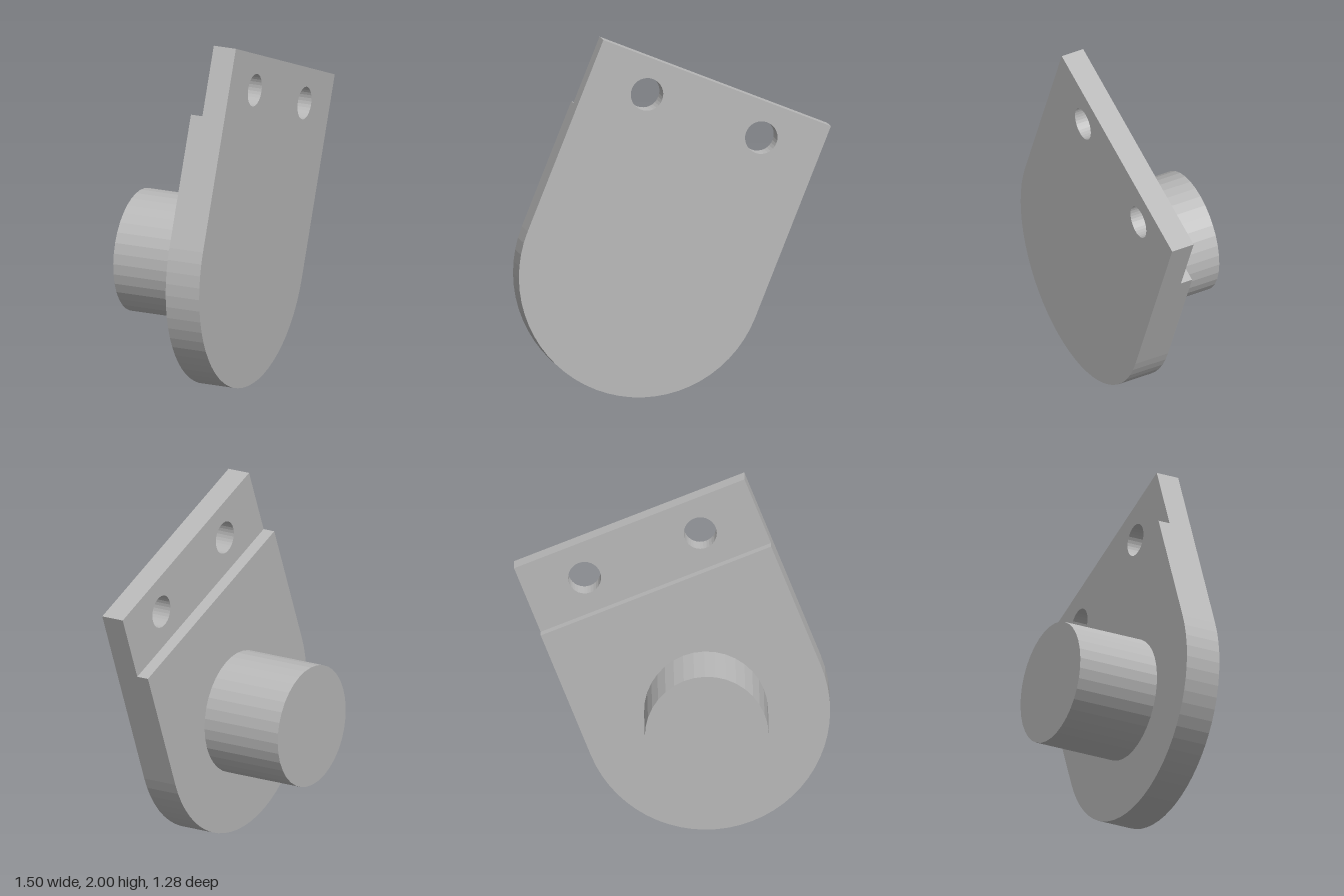
import * as THREE from 'three';

const R = 0.685;      // half width of the plate and radius of its rounded end
const TOP = 1.14;     // rounded-end centre to the straight end
const STEP = 0.745;   // rounded-end centre to the step on the back
const THIN = 0.135;   // thickness at the holes
const THICK = 0.205;  // thickness below the step
const PEG_LENGTH = 0.483;

// Tongue outline: half circle below, straight end above
function tongue(height) {
  const s = new THREE.Shape();
  s.moveTo(R, height);
  s.lineTo(-R, height);
  s.lineTo(-R, 0);
  s.absarc(0, 0, R, Math.PI, Math.PI * 2, false);
  s.closePath();
  return s;
}

function slab(name, shape, depth, zBack, material) {
  const geometry = new THREE.ExtrudeGeometry(shape, { depth, bevelEnabled: false, curveSegments: 16 });
  const mesh = new THREE.Mesh(geometry, material);
  mesh.name = name;
  mesh.position.z = zBack;
  return mesh;
}

export function createModel() {
  const grey = new THREE.MeshStandardMaterial({ color: 0xb8b8b8, flatShading: true });
  grey.name = 'light grey';

  const bracket = new THREE.Group();
  bracket.name = 'bracket';

  // Full-length plate with two bolt holes
  const outline = tongue(TOP);
  for (const side of [-1, 1]) {
    const hole = new THREE.Path();
    hole.absarc(side * 0.344, 0.944, 0.091, 0, Math.PI * 2, true);
    outline.holes.push(hole);
  }
  bracket.add(slab('frontPlate', outline, THIN, -THIN, grey));

  // Shorter backing layer that forms the step
  bracket.add(slab('backPlate', tongue(STEP), THICK - THIN, -THICK, grey));

  // Round peg on the back, concentric with the rounded end
  const peg = new THREE.Mesh(new THREE.CylinderGeometry(R / 2, R / 2, PEG_LENGTH, 36), grey);
  peg.name = 'peg';
  peg.rotation.x = Math.PI / 2;
  peg.position.z = -THICK - PEG_LENGTH / 2;
  bracket.add(peg);

  // Lean sideways, then turn about the vertical
  bracket.rotation.set(0, 0.7465, -0.3806);
  bracket.position.set(-0.032, R, 0.178);

  const model = new THREE.Group();
  model.name = 'model';
  model.add(bracket);
  return model;
}
